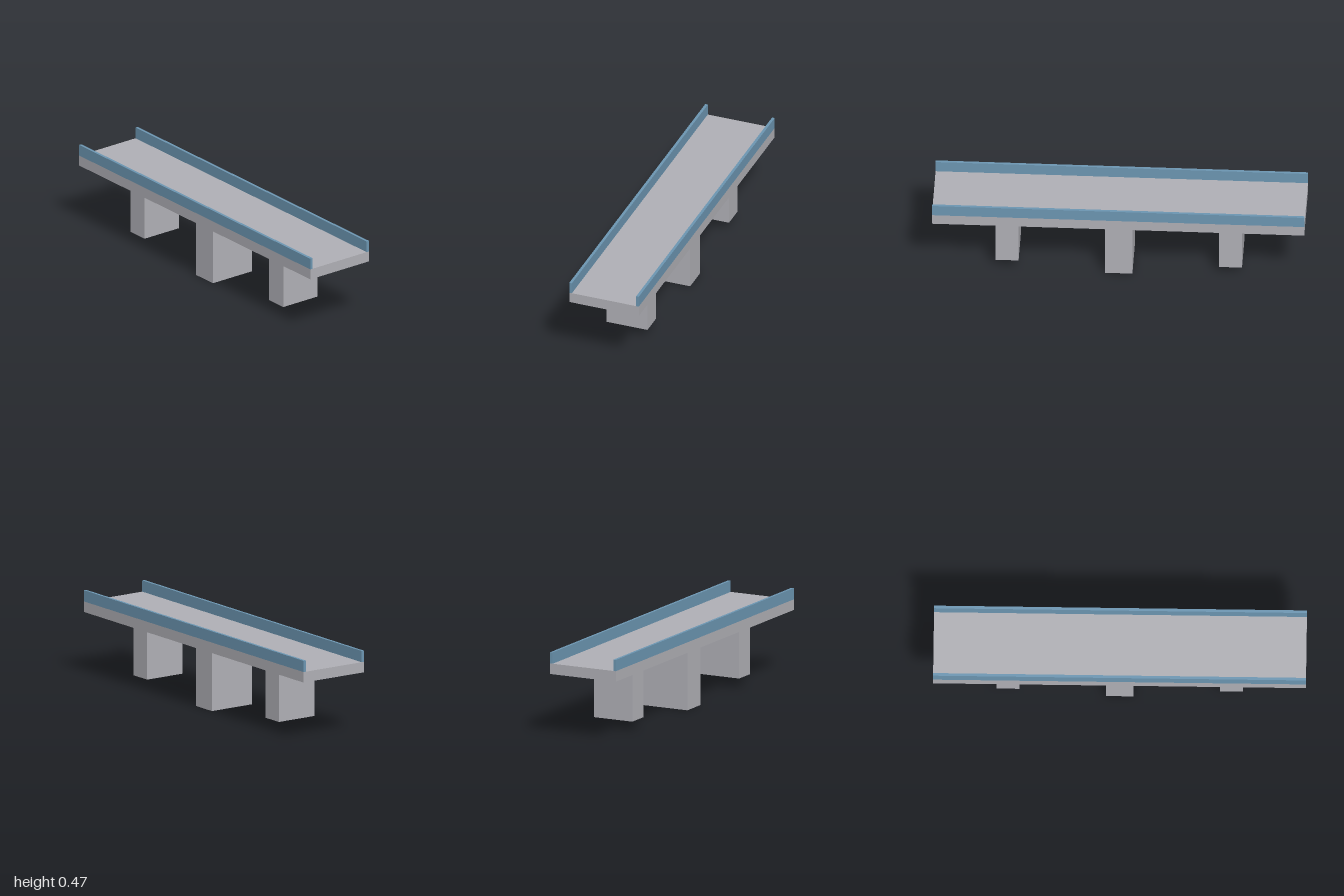
import * as THREE from 'three';

export function createModel() {
  const bridge = new THREE.Group();
  bridge.name = 'bridge';

  const concrete = new THREE.MeshStandardMaterial({ color: 0xb0b0b6 });
  concrete.name = 'concrete grey';
  const railBlue = new THREE.MeshStandardMaterial({ color: 0x6c96b2 });
  railBlue.name = 'railing blue';

  const deckBottom = 0.347, deckTop = 0.405, railTop = 0.467;
  const halfWidth = 0.2, railThickness = 0.015;

  // Box spanning y0..y1, centred on x and z
  function block(name, material, width, depth, y0, y1, x = 0, z = 0) {
    const mesh = new THREE.Mesh(new THREE.BoxGeometry(width, y1 - y0, depth), material);
    mesh.name = name;
    mesh.position.set(x, (y0 + y1) / 2, z);
    bridge.add(mesh);
  }

  // Road slab
  block('deck', concrete, 2, halfWidth * 2, deckBottom, deckTop);

  // Large middle pier, reaching the ground
  block('centrePier', concrete, 0.147, 0.267, 0, deckBottom);

  // Shorter side piers and edge parapets, mirrored
  for (const side of [1, -1]) {
    block(side > 0 ? 'leftPier' : 'rightPier', concrete, 0.123, 0.235, 0.052, deckBottom, side * 0.6);
    block(side > 0 ? 'frontParapet' : 'backParapet', railBlue, 2, railThickness,
      deckTop, railTop, 0, side * (halfWidth - railThickness / 2));
  }

  return bridge;
}
